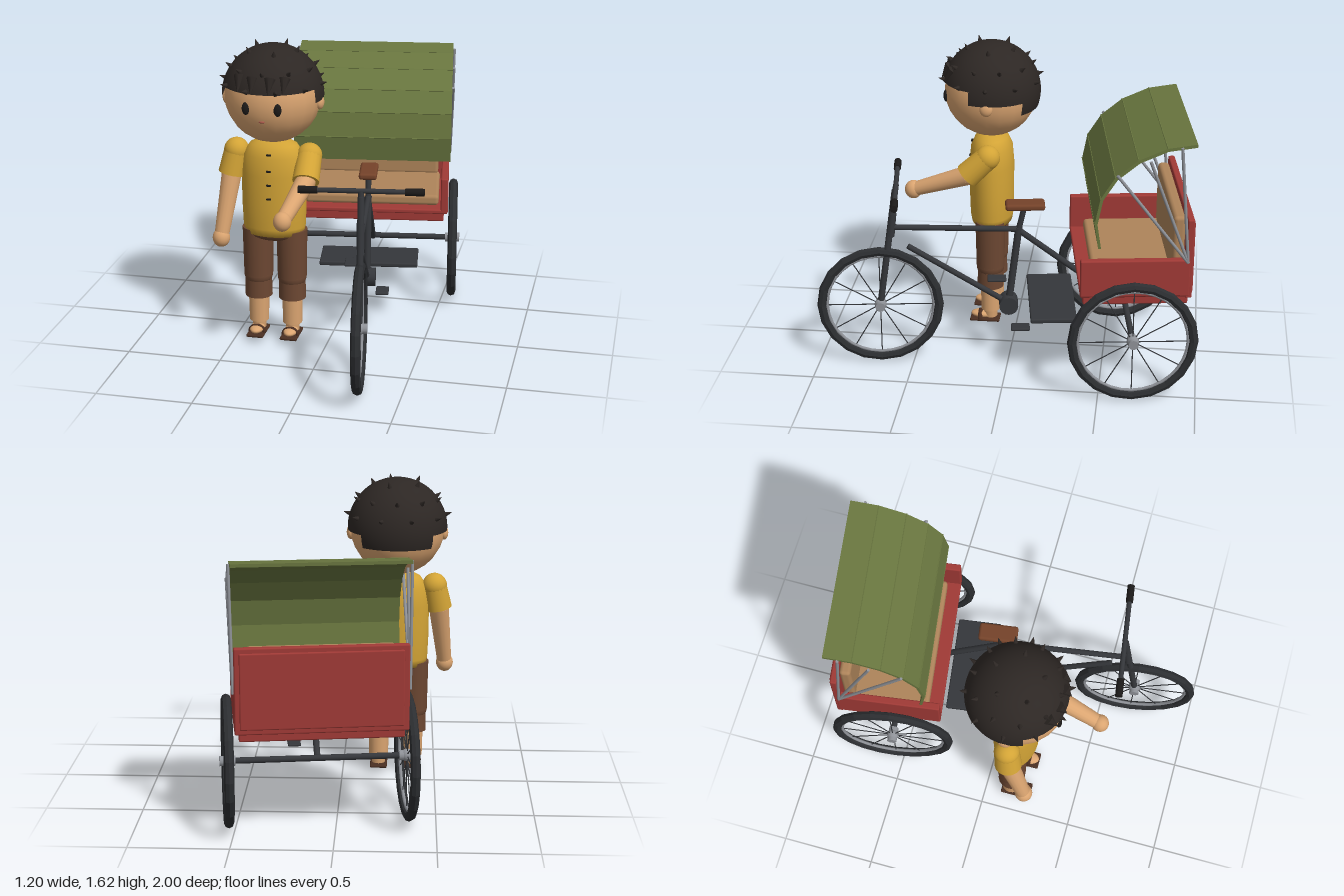
import * as THREE from 'three';
import { RoundedBoxGeometry } from 'three/addons/geometries/RoundedBoxGeometry.js';

const mat = (color, flatShading = false, side = THREE.FrontSide) =>
  new THREE.MeshStandardMaterial({ color, flatShading, side });
const M = {
  red: mat(0xa03a36), olive: mat(0x69763f, true), tan: mat(0xae845a), metal: mat(0x35373b),
  tyre: mat(0x2c2e31, true), grey: mat(0x8f9298), saddle: mat(0x75432a), skin: mat(0xdba571),
  shirt: mat(0xd3a436), hair: mat(0x2d2724, false, THREE.DoubleSide), pants: mat(0x6c4732),
  dark: mat(0x1c1a19), lips: mat(0xa8564a), sole: mat(0x4a2f22),
};
const V = (x, y, z) => new THREE.Vector3(x, y, z);
const UP = V(0, 1, 0);

function add(parent, name, geometry, material, x = 0, y = 0, z = 0) {
  const m = new THREE.Mesh(geometry, material);
  m.name = name;
  m.position.set(x, y, z);
  parent.add(m);
  return m;
}
const box = (p, name, w, h, d, material, x, y, z, r = 0.008) =>
  add(p, name, new RoundedBoxGeometry(w, h, d, 2, Math.min(r, h * 0.45)), material, x, y, z);

// Tapered round bar from point a to point b
function rod(p, name, a, b, r1, r2, material, sides = 12) {
  const d = b.clone().sub(a);
  const m = add(p, name, new THREE.CylinderGeometry(r2, r1, d.length(), sides), material);
  m.position.copy(a).addScaledVector(d, 0.5);
  m.quaternion.setFromUnitVectors(UP, d.normalize());
  return m;
}
function ball(p, name, r, material, pos, sx = 1, sy = 1, sz = 1) {
  const m = add(p, name, new THREE.SphereGeometry(r, 20, 14), material, pos.x, pos.y, pos.z);
  m.scale.set(sx, sy, sz);
  return m;
}

// Wheel with tyre, rim, hub and spokes, turning about x
function wheel(p, name, x, z) {
  const g = new THREE.Group();
  g.name = name;
  g.position.set(x, 0.342, z);
  add(g, 'tyre', new THREE.TorusGeometry(0.309, 0.025, 8, 20), M.tyre).rotation.y = Math.PI / 2;
  add(g, 'rim', new THREE.TorusGeometry(0.282, 0.009, 6, 32), M.grey).rotation.y = Math.PI / 2;
  rod(g, 'hub', V(-0.04, 0, 0), V(0.04, 0, 0), 0.026, 0.026, M.grey);
  ball(g, 'hubCap', 0.032, M.grey, V(0, 0, 0));
  for (let i = 0; i < 12; i++) {
    const a = (i / 12) * Math.PI * 2;
    rod(g, 'spoke', V(0, 0, 0), V(0, Math.cos(a) * 0.285, Math.sin(a) * 0.285), 0.003, 0.003, M.metal, 5);
  }
  p.add(g);
}

function createRickshaw() {
  const g = new THREE.Group();
  g.name = 'rickshaw';

  // Wheels and axle
  wheel(g, 'frontWheel', 0, 1.293);
  for (const s of [-1, 1]) wheel(g, 'rearWheel', s * 0.45, 0);
  rod(g, 'rearAxle', V(-0.45, 0.342, 0), V(0.45, 0.342, 0), 0.016, 0.016, M.metal);

  // Frame tubes
  const tubes = [
    ['fork', 0.342, 1.293, 1.0, 1.198, 0.017], ['topTube', 0.79, 1.21, 0.77, 0.57, 0.015],
    ['downTube', 0.68, 1.14, 0.34, 0.616, 0.015], ['seatTube', 0.34, 0.616, 0.78, 0.562, 0.019],
    ['seatPost', 0.76, 0.565, 0.89, 0.535, 0.015], ['rearStay', 0.77, 0.57, 0.342, 0.02, 0.016],
  ];
  for (const [name, y1, z1, y2, z2, r] of tubes) rod(g, name, V(0, y1, z1), V(0, y2, z2), r, r, M.metal);
  rod(g, 'headTube', V(0, 0.74, 1.228), V(0, 0.87, 1.214), 0.02, 0.02, M.metal);

  // Handlebar and grips
  rod(g, 'stem', V(0, 0.97, 1.2), V(0, 1.03, 1.192), 0.015, 0.015, M.metal);
  rod(g, 'handlebar', V(-0.3, 1.03, 1.192), V(0.3, 1.03, 1.192), 0.013, 0.013, M.metal);
  for (const s of [-1, 1]) {
    rod(g, 'grip', V(s * 0.215, 1.03, 1.192), V(s * 0.31, 1.03, 1.192), 0.019, 0.019, M.dark);
    box(g, 'pedal', 0.07, 0.014, 0.1, M.metal, s * 0.08, 0.34 - s * 0.105, 0.616 - s * 0.06);
  }
  rod(g, 'bottomBracket', V(-0.045, 0.34, 0.616), V(0.045, 0.34, 0.616), 0.05, 0.05, M.metal, 16);
  box(g, 'saddle', 0.095, 0.035, 0.205, M.saddle, 0, 0.907, 0.53, 0.014);

  // Passenger body
  box(g, 'footboard', 0.53, 0.025, 0.24, M.metal, 0, 0.365, 0.39);
  box(g, 'bodyBase', 0.8, 0.07, 0.53, M.red, 0, 0.565, -0.01);
  box(g, 'floor', 0.84, 0.025, 0.56, M.red, 0, 0.59, -0.01);
  for (const s of [-1, 1]) box(g, 'sidePanel', 0.04, 0.2, 0.55, M.red, s * 0.402, 0.682, -0.005);
  box(g, 'backPanel', 0.84, 0.43, 0.035, M.red, 0, 0.785, -0.275);
  box(g, 'backTrim', 0.79, 0.38, 0.015, M.red, 0, 0.785, -0.292);
  box(g, 'seatCushion', 0.74, 0.06, 0.44, M.tan, 0, 0.63, -0.02, 0.02);
  box(g, 'backrest', 0.72, 0.34, 0.06, M.tan, 0, 0.82, -0.225, 0.02);

  // Folded hood, an arched sheet swept across the width
  const arc = [[0.185, 0.855], [0.206, 0.99], [0.18, 1.125], [0.11, 1.235], [0, 1.325], [-0.14, 1.385], [-0.285, 1.405]]
    .map(([z, y]) => new THREE.Vector2(z, y));
  const centre = new THREE.Vector2(-0.28, 0.86);
  const inner = arc.map((p) => p.clone().lerp(centre, 0.03)).reverse();
  const hood = new THREE.ExtrudeGeometry(new THREE.Shape([...arc, ...inner]), { depth: 0.86, bevelEnabled: false });
  hood.translate(0, 0, -0.43).rotateY(-Math.PI / 2);
  add(g, 'hood', hood, M.olive);
  for (let i = 1; i < arc.length - 1; i++)
    rod(g, 'hoodSeam', V(-0.431, arc[i].y, arc[i].x), V(0.431, arc[i].y, arc[i].x), 0.003, 0.003, M.olive, 5);
  for (const s of [-1, 1])
    for (const [z, y] of [[0.1, 1.25], [-0.06, 1.32], [-0.21, 1.39]])
      rod(g, 'hoodStrut', V(s * 0.425, 0.77, -0.265), V(s * 0.436, y, z), 0.008, 0.008, M.grey, 8);

  g.position.set(0.095, 0, -0.61);
  g.rotation.y = 0.14;
  return g;
}

function createDriver() {
  const g = new THREE.Group();
  g.name = 'driver';

  // Head and face, with the driver's own centre line at x = 0, z = 0
  ball(g, 'head', 0.25, M.skin, V(0, 1.37, 0));
  ball(g, 'mouth', 0.016, M.lips, V(0, 1.285, 0.232), 1, 0.4, 0.5);
  for (const s of [-1, 1]) {
    ball(g, 'ear', 0.038, M.skin, V(s * 0.245, 1.34, 0), 0.6, 1, 0.9);
    ball(g, 'eye', 0.033, M.dark, V(s * 0.082, 1.352, 0.233), 0.62, 1, 0.4);
  }

  // Hair in three steps: cap, sides and nape
  const shell = (name, r, p0, p1, t0, t1) =>
    add(g, name, new THREE.SphereGeometry(r, 32, 14, p0, p1 - p0, t0, t1 - t0), M.hair, 0, 1.37, 0);
  const PI = Math.PI;
  shell('hairCap', 0.262, 0, 2 * PI, 0, 1.34);
  shell('hairSides', 0.262, PI - 0.37, 2 * PI + 0.37, 1.33, 1.61);
  shell('hairNape', 0.262, PI + 0.78, 2 * PI - 0.78, 1.6, 1.88);
  const tuft = (theta, phi, r, h) => {
    const n = V(0, 0, 0).setFromSphericalCoords(1, theta, phi);
    const a = n.clone().multiplyScalar(0.252).add(V(0, 1.37, 0));
    rod(g, 'hairTuft', a, a.clone().addScaledVector(n, h), r, 0.001, M.hair, 7);
  };
  for (const [theta, count, turn] of [[0.5, 5, 0.3], [0.95, 10, 0], [1.3, 10, 0.3]])
    for (let i = 0; i < count; i++) tuft(theta, turn + (i / count) * 2 * PI, 0.016, 0.042);
  // Fringe of downward locks
  for (const x of [-0.125, -0.05, 0.04, 0.11])
    rod(g, 'fringe', V(x, 1.505, Math.sqrt(0.0475 - x * x)), V(x, 1.435, Math.sqrt(0.069 - x * x)), 0.03, 0.002, M.hair, 8);

  // Shirt and buttons
  const profile = [[0.001, 0.62], [0.157, 0.62], [0.166, 0.66], [0.171, 0.78], [0.172, 0.95], [0.16, 1.05], [0.125, 1.105], [0.075, 1.13], [0.001, 1.135]];
  const shirt = add(g, 'shirt', new THREE.LatheGeometry(profile.map(([r, y]) => new THREE.Vector2(r, y)), 28), M.shirt);
  shirt.scale.z = 0.7;
  for (const [y, z] of [[1.07, 0.107], [0.985, 0.118], [0.91, 0.121], [0.835, 0.121]])
    box(g, 'button', 0.025, 0.01, 0.01, M.dark, 0, y, z, 0.003);

  // Arms: one hangs, the other reaches for the handlebar
  const arms = [
    [V(-0.2, 1.055, 0), V(-0.225, 0.93, 0.015), V(-0.262, 0.6, 0.11)],
    [V(0.19, 1.05, 0), V(0.195, 0.945, 0.11), V(0.145, 0.83, 0.41)],
  ];
  for (const [shoulder, elbow, hand] of arms) {
    ball(g, 'shoulder', 0.066, M.shirt, shoulder);
    rod(g, 'sleeve', shoulder, elbow, 0.064, 0.07, M.shirt, 18);
    ball(g, 'elbow', 0.052, M.skin, elbow);
    rod(g, 'forearm', elbow, hand, 0.053, 0.038, M.skin, 16);
    ball(g, 'hand', 0.046, M.skin, hand, 1, 1.1, 1);
  }

  // Trousers, shins and sandals
  ball(g, 'hips', 0.16, M.pants, V(0, 0.63, 0), 1, 0.35, 0.68);
  for (const s of [-1, 1]) {
    const x = s * 0.092;
    rod(g, 'thigh', V(x, 0.37, 0), V(x, 0.64, 0), 0.077, 0.082, M.pants, 18);
    ball(g, 'knee', 0.077, M.pants, V(x, 0.375, 0));
    rod(g, 'trouserLeg', V(x, 0.25, 0), V(x, 0.375, 0), 0.073, 0.07, M.pants, 18);
    rod(g, 'shin', V(x, 0.105, 0), V(x, 0.26, 0), 0.052, 0.055, M.skin, 16);
    rod(g, 'ankle', V(x, 0.06, 0), V(x, 0.11, 0), 0.036, 0.04, M.skin);
    ball(g, 'foot', 0.04, M.skin, V(x, 0.07, 0.045), 0.95, 0.55, 1.6);
    box(g, 'sandalSole', 0.092, 0.016, 0.165, M.sole, x, 0.046, 0.03);
    const strap = add(g, 'sandalStrap', new THREE.TorusGeometry(0.04, 0.009, 6, 16, PI), M.sole, x, 0.05, 0.055);
    strap.scale.set(1, 0.95, 1.6);
  }

  g.position.set(-0.288, 0, 0.142);
  return g;
}

export function createModel() {
  const model = new THREE.Group();
  model.name = 'rickshawAndDriver';
  model.add(createRickshaw(), createDriver());
  return model;
}
